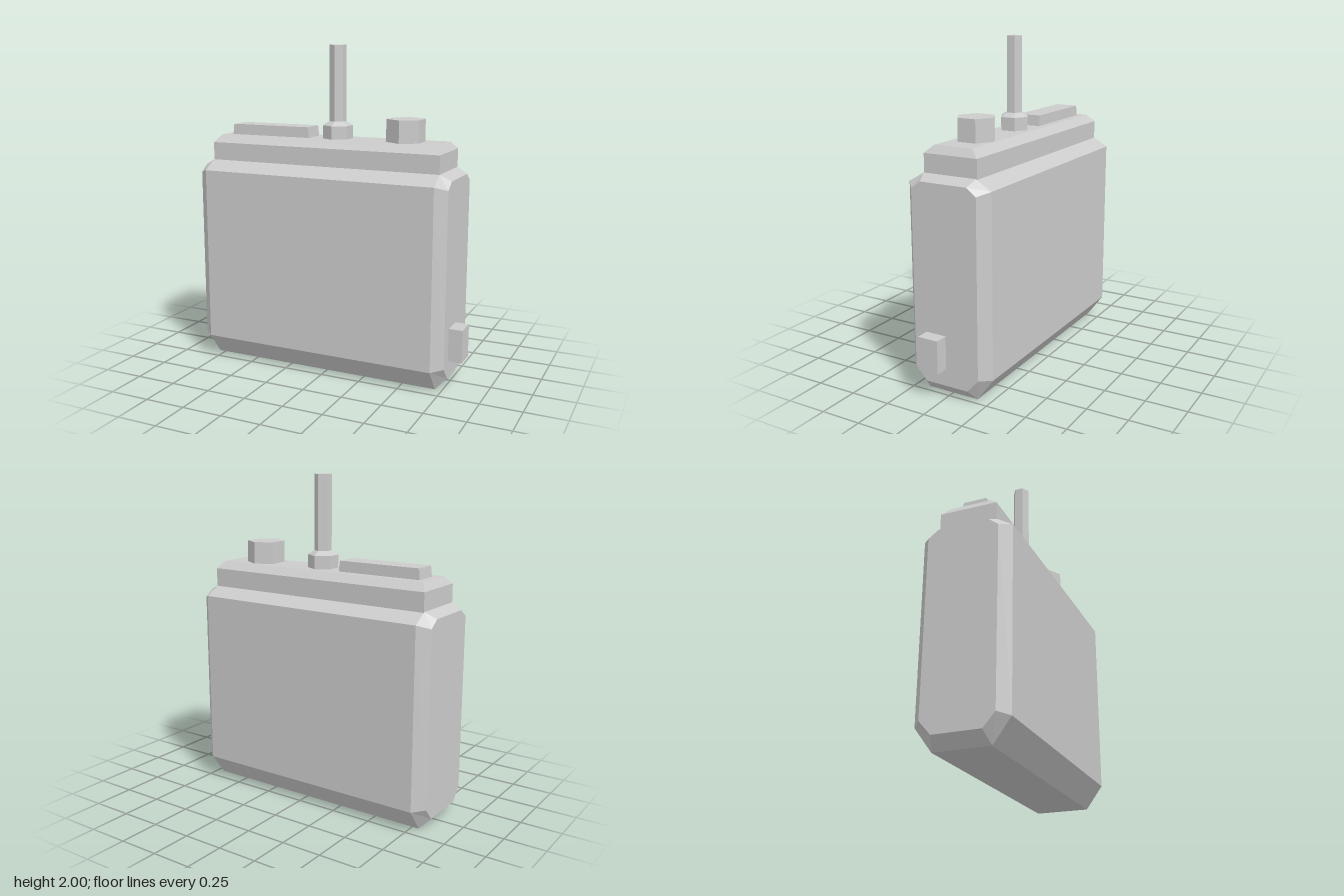
import * as THREE from 'three';

const material = new THREE.MeshStandardMaterial({ color: 0xcccccc, flatShading: true });

function part(name, geometry, x = 0, y = 0, z = 0) {
  const mesh = new THREE.Mesh(geometry, material);
  mesh.name = name;
  mesh.position.set(x, y, z);
  return mesh;
}

// Box standing on y = 0 whose top face is drawn in by the given amounts
function taperedBox(w, h, d, insetX = 0, insetZ = 0) {
  const g = new THREE.BoxGeometry(w, h, d).translate(0, h / 2, 0);
  const p = g.attributes.position;
  for (let i = 0; i < p.count; i++) {
    if (p.getY(i) < h / 2) continue;
    p.setX(i, p.getX(i) - Math.sign(p.getX(i)) * insetX);
    p.setZ(i, p.getZ(i) - Math.sign(p.getZ(i)) * insetZ);
  }
  g.computeVertexNormals();
  return g;
}

// Eight-sided section across the case, as [z, y] pairs
function section(bottomY, bottomZ, lowY, sideZ, highY, topZ, topY) {
  const half = [[-bottomZ, bottomY], [-sideZ, lowY], [-sideZ, highY], [-topZ, topY]];
  return [...half, ...half.map(([z, y]) => [-z, y]).reverse()];
}

// Skin a row of sections along x and close both ends
function loft(stations) {
  const n = stations[0].loop.length;
  const last = (stations.length - 1) * n;
  const positions = stations.flatMap(({ x, loop }) => loop.flatMap(([z, y]) => [x, y, z]));
  const index = [];
  for (let s = 0; s < last; s += n) {
    for (let i = 0; i < n; i++) {
      const a = s + i, b = s + (i + 1) % n;
      index.push(a, b, b + n, a, b + n, a + n);
    }
  }
  for (let i = 1; i < n - 1; i++) {
    index.push(0, i + 1, i, last, last + i, last + i + 1);
  }
  const indexed = new THREE.BufferGeometry();
  indexed.setAttribute('position', new THREE.Float32BufferAttribute(positions, 3));
  indexed.setIndex(index);
  const g = indexed.toNonIndexed();
  g.computeVertexNormals();
  return g;
}

export function createModel() {
  const model = new THREE.Group();
  model.name = 'handheldDevice';

  // Bevelled case: full section in the middle, smaller one at each end
  const full = section(0, 0.165, 0.14, 0.268, 1.228, 0.17, 1.285);
  const end = section(0.07, 0.14, 0.15, 0.21, 1.205, 0.15, 1.25);
  model.add(part('case', loft([
    { x: -0.86, loop: end }, { x: -0.793, loop: full },
    { x: 0.706, loop: full }, { x: 0.772, loop: end },
  ])));

  // Stepped lid with a chamfered top
  model.add(part('lidBase', taperedBox(1.496, 0.125, 0.344), -0.044, 1.27, -0.004));
  model.add(part('lidTop', taperedBox(1.496, 0.045, 0.344, 0.032, 0.049), -0.044, 1.395, -0.004));

  // Raised bar on the lid
  model.add(part('topBar', taperedBox(0.54, 0.07, 0.146, 0.007, 0.002), -0.44, 1.435, -0.007));

  // Hexagonal mast rising from a collar
  const mastProfile = [[0, 1.435], [0.092, 1.435], [0.092, 1.52], [0.052, 1.545], [0.052, 2], [0, 2]]
    .map(([r, y]) => new THREE.Vector2(r, y));
  model.add(part('mast', new THREE.LatheGeometry(mastProfile, 6), -0.003, 0, 0));

  // Hexagonal knob
  model.add(part('knob', new THREE.CylinderGeometry(0.117, 0.117, 0.14, 6), 0.436, 1.505, -0.004));

  // Button on the side of the case
  model.add(part('sideButton', taperedBox(0.095, 0.2, 0.13), 0.808, 0.175, 0.067));

  return model;
}
